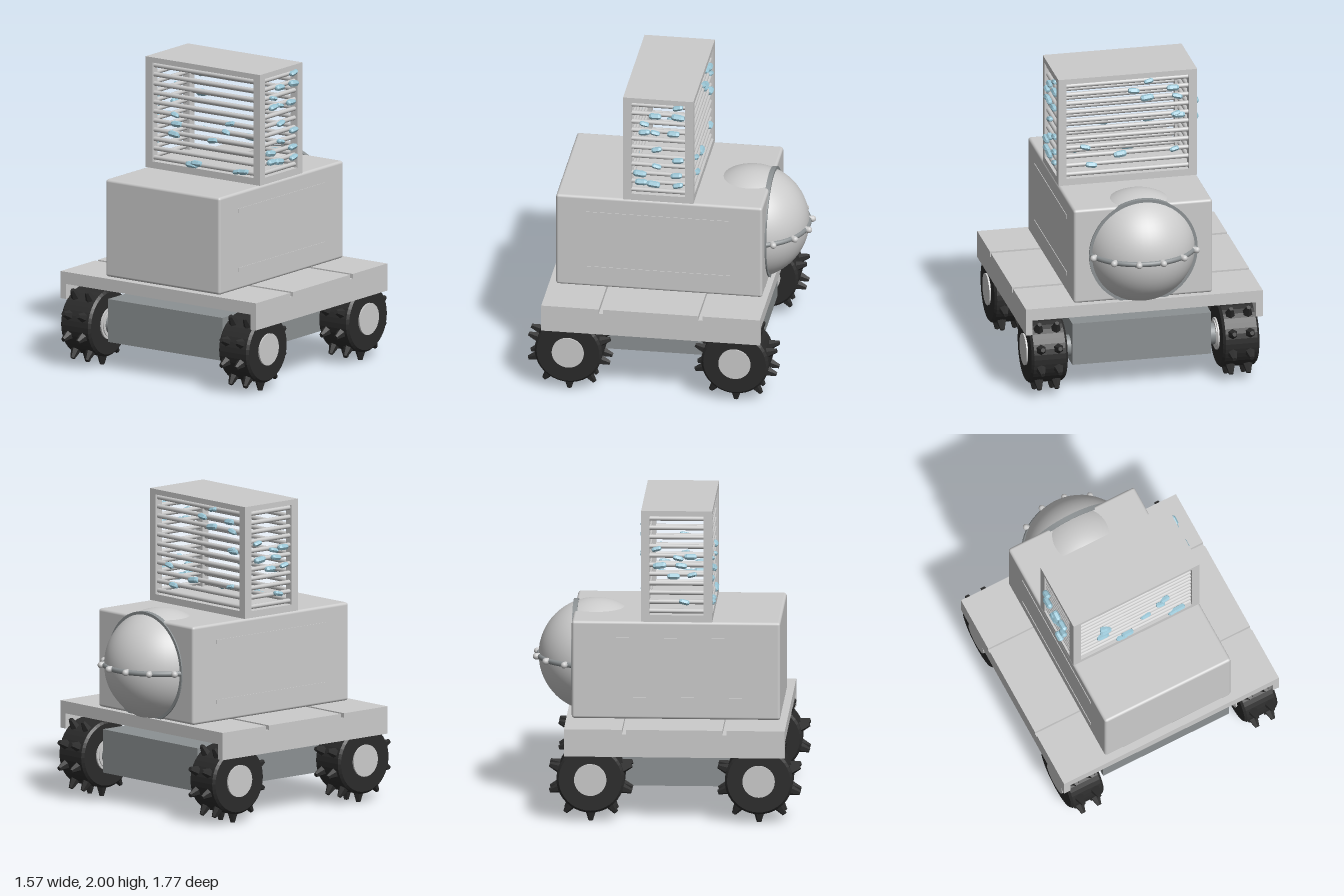
import * as THREE from 'three';
import { RoundedBoxGeometry } from 'three/addons/geometries/RoundedBoxGeometry.js';

const mat = (color, flatShading = false) => new THREE.MeshStandardMaterial({ color, flatShading });
const grey = mat(0xcccccc);
const darkGrey = mat(0x8c9193);
const rubber = mat(0x2b2b2b, true);
const crystalBlue = mat(0x9cc8d8, true);

function add(parent, name, geometry, material, x = 0, y = 0, z = 0) {
  const mesh = new THREE.Mesh(geometry, material);
  mesh.name = name;
  mesh.position.set(x, y, z);
  parent.add(mesh);
  return mesh;
}

function group(parent, name, x = 0, y = 0, z = 0) {
  const g = new THREE.Group();
  g.name = name;
  g.position.set(x, y, z);
  parent.add(g);
  return g;
}

const box = (w, h, d) => new THREE.BoxGeometry(w, h, d);
const cylinderX = (r, len, sides = 32) => new THREE.CylinderGeometry(r, r, len, sides).rotateZ(Math.PI / 2);

// Flat deck with two cross grooves and a skirt along each side
function buildPlatform(root) {
  const g = group(root, 'platform');
  const front = 0.785, back = -0.645, top = 0.62, low = 0.54, cut = 0.59;
  const s = new THREE.Shape();
  s.moveTo(back, low);
  s.lineTo(front, low);
  s.lineTo(front, top);
  for (const z of [0.395, -0.255]) {
    s.lineTo(z + 0.014, top);
    s.lineTo(z + 0.014, cut);
    s.lineTo(z - 0.014, cut);
    s.lineTo(z - 0.014, top);
  }
  s.lineTo(back, top);
  const deck = new THREE.ExtrudeGeometry(s, { depth: 1.57, bevelEnabled: false });
  deck.translate(0, 0, -0.785).rotateY(-Math.PI / 2);
  // the profile's first axis must run along +z
  add(g, 'groovedDeck', deck, grey);
  for (const side of [-1, 1])
    add(g, 'sideSkirt', box(0.045, 0.12, front - back), grey, side * 0.7625, 0.5, (front + back) / 2);
}

// Spiked wheel, built for the +x side and turned round for the other
function buildWheel(root, side, z) {
  const g = group(root, 'wheel', side * 0.635, 0.28, z);
  if (side < 0) g.rotation.y = Math.PI;
  const profile = [[0.09, -0.12], [0.205, -0.12], [0.22, -0.105], [0.22, 0.105], [0.205, 0.12], [0.09, 0.12]]
    .map(([r, h]) => new THREE.Vector2(r, h));
  add(g, 'tyre', new THREE.LatheGeometry(profile, 40).rotateZ(-Math.PI / 2), rubber);
  add(g, 'hub', cylinderX(0.105, 0.262), grey);
  add(g, 'innerHub', cylinderX(0.09, 0.02), grey, -0.128);
  add(g, 'axle', cylinderX(0.07, 0.1), darkGrey, -0.17);
  const spike = new THREE.CylinderGeometry(0.015, 0.036, 0.07, 6);
  for (let i = 0; i < 10; i++) {
    const a = (i / 10) * Math.PI * 2 + Math.PI;
    for (const x of [-0.058, 0.058]) {
      const m = add(g, 'tyreSpike', spike, rubber, x, Math.cos(a) * 0.245, Math.sin(a) * 0.245);
      m.rotation.x = a;
    }
  }
}

// Main housing with two thin strips on each flank
function buildBody(root) {
  const g = group(root, 'body');
  add(g, 'housing', new RoundedBoxGeometry(0.92, 0.645, 1.35, 3, 0.018), grey, 0, 0.9425, 0.065);
  for (const side of [-1, 1])
    for (const y of [0.752, 1.145])
      add(g, 'flankStrip', box(0.008, 0.026, 0.95), grey, side * 0.46, y, 0.067);
}

// Spherical tank sunk into the rear of the housing
function buildTank(root) {
  const R = 0.37;
  const g = group(root, 'rearTank', 0, 0.945, -0.475);
  add(g, 'tankSphere', new THREE.SphereGeometry(R, 48, 32), grey);
  const collar = new THREE.CylinderGeometry(0.36, 0.36, 0.032, 64).rotateX(Math.PI / 2);
  add(g, 'collarRing', collar, darkGrey, 0, 0, -0.128);
  const band = new THREE.TorusGeometry(R - 0.003, 0.018, 10, 48, Math.PI).rotateX(-Math.PI / 2);
  add(g, 'tankBand', band, darkGrey);
  const rivet = new THREE.CapsuleGeometry(0.021, 0.03, 6, 14).rotateX(Math.PI / 2);
  for (const deg of [-61, -36.5, -12, 12, 36.5, 61]) {
    const a = THREE.MathUtils.degToRad(deg);
    const m = add(g, 'bandRivet', rivet, grey, Math.sin(a) * 0.377, 0, -Math.cos(a) * 0.377);
    m.rotation.y = -a;
  }
}

// Open louvred box on top: caps, corner posts and bars on all four sides
function buildCage(root) {
  const g = group(root, 'louvreCage', 0, 0, 0.07);
  add(g, 'topCap', box(0.92, 0.035, 0.46), grey, 0, 1.9825, 0);
  add(g, 'bottomCap', box(0.92, 0.045, 0.46), grey, 0, 1.2875, 0);
  for (const x of [-1, 1])
    for (const z of [-1, 1])
      add(g, 'cornerPost', box(0.055, 0.73, 0.055), grey, x * 0.4325, 1.635, z * 0.2025);
  const longBar = cylinderX(0.015, 0.84, 10);
  const shortBar = cylinderX(0.015, 0.38, 10).rotateY(Math.PI / 2);
  for (let i = 0; i < 11; i++) {
    const y = 1.333 + i * 0.0612;
    for (const s of [-1, 1]) {
      add(g, 'longLouvre', longBar, grey, 0, y, s * 0.205);
      add(g, 'shortLouvre', shortBar, grey, s * 0.435, y, 0);
    }
  }
}

// Small ice crystals clinging to the bars; each pair is (along, height)
function buildCrystals(root) {
  const g = group(root, 'crystals');
  const frontSpots = [[-0.23, 1.64], [-0.22, 1.58], [0.21, 1.64], [-0.24, 1.51], [0.07, 1.51],
    [0.18, 1.58], [-0.06, 1.34], [0.27, 1.33], [-0.1, 1.325], [0.32, 1.335]];
  const backSpots = [[-0.32, 1.7], [-0.34, 1.69], [-0.33, 1.82], [-0.13, 1.825], [-0.04, 1.88],
    [-0.14, 1.94], [-0.3, 1.88], [0.28, 1.515], [0.05, 1.45], [0.24, 1.39], [-0.31, 1.455]];
  const leftSpots = [[0.16, 1.82], [0.09, 1.88], [-0.06, 1.95], [-0.06, 1.88], [0.16, 1.76], [0.09, 1.76],
    [-0.03, 1.76], [0.08, 1.64], [0.19, 1.46], [-0.05, 1.46], [0.08, 1.52], [0.18, 1.4], [-0.06, 1.39],
    [0.1, 1.39], [-0.06, 1.57]];
  const rightSpots = [[-0.06, 1.75], [0.16, 1.7], [0.08, 1.69], [-0.04, 1.64], [0.1, 1.64],
    [0.17, 1.58], [0.05, 1.57], [0.12, 1.4]];
  const gem = new THREE.LatheGeometry(
    [[0, -0.04], [0.019, -0.036], [0.026, -0.02], [0.026, 0.024], [0.017, 0.037], [0, 0.04]]
      .map(([r, h]) => new THREE.Vector2(r, h)), 6).rotateZ(Math.PI / 2);
  const scatter = (spots, place, turn) => spots.forEach(([u, y], i) => {
    const m = add(g, 'iceCrystal', gem, crystalBlue, ...place(u, y));
    const size = 0.8 + 0.08 * ((i * 3) % 5);
    m.scale.set(size, 0.75 * size, 0.8);
    m.rotation.set(0, turn, 0.12 * (((i * 2) % 5) - 2));
  });
  scatter(frontSpots, (u, y) => [u, y, 0.287], 0);
  scatter(backSpots, (u, y) => [u, y, -0.15], 0);
  scatter(leftSpots, (u, y) => [0.463, y, u], Math.PI / 2);
  scatter(rightSpots, (u, y) => [-0.47, y, u], Math.PI / 2);
}

export function createModel() {
  const root = new THREE.Group();
  root.name = 'spikedWheelCart';
  buildPlatform(root);
  add(root, 'underChassis', box(0.92, 0.285, 1.28), darkGrey, 0, 0.3225, 0.07);
  for (const side of [-1, 1])
    for (const z of [0.615, -0.475]) buildWheel(root, side, z);
  buildBody(root);
  buildTank(root);
  buildCage(root);
  buildCrystals(root);
  return root;
}
